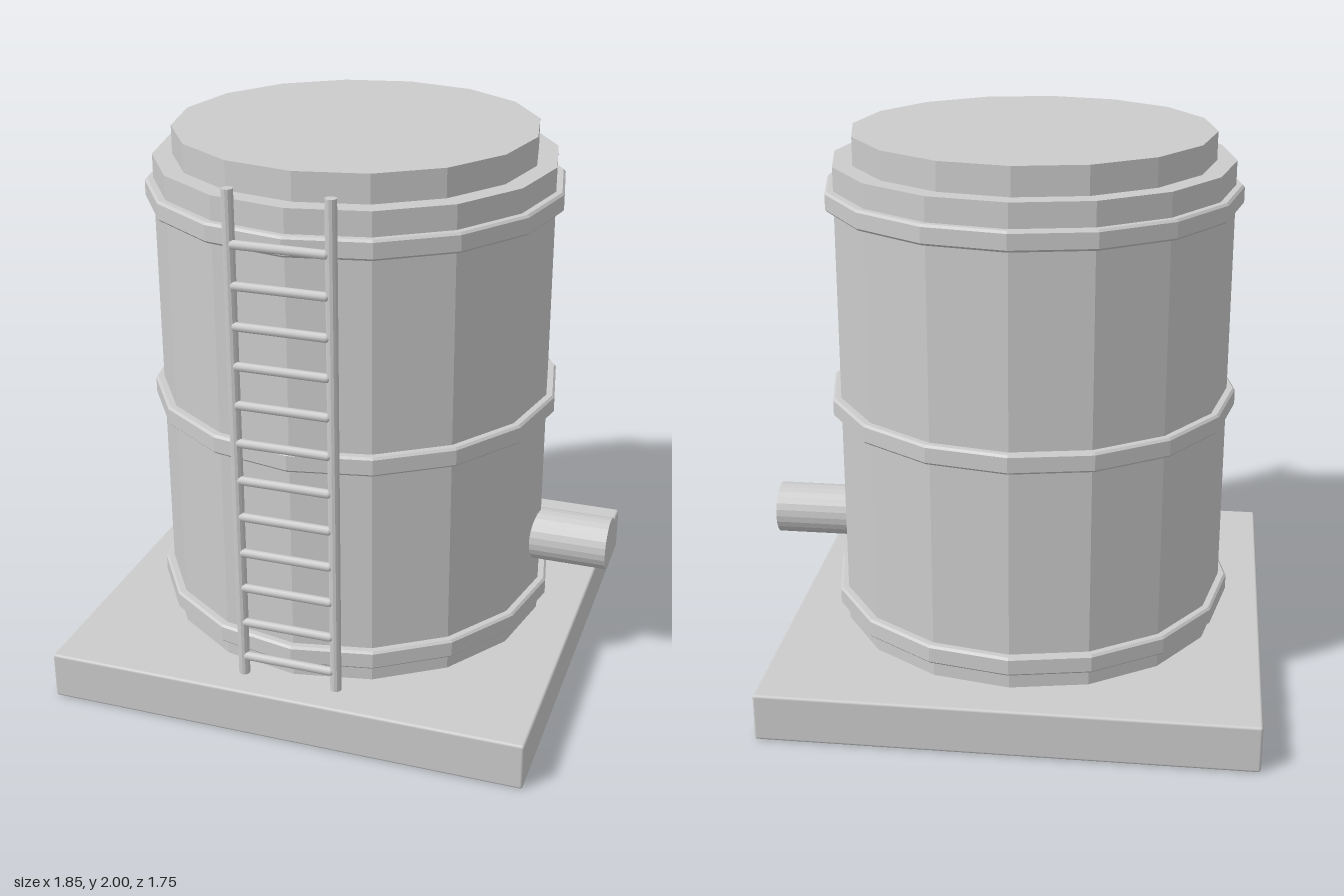
import * as THREE from 'three';
import { RoundedBoxGeometry } from 'three/addons/geometries/RoundedBoxGeometry.js';

const SIDES = 16;
const TANK_X = -0.053;
const flat = new THREE.MeshStandardMaterial({ color: 0xcccccc, flatShading: true });
const smooth = new THREE.MeshStandardMaterial({ color: 0xcccccc });

function add(parent, name, geometry, x, y, z, material = flat) {
  const mesh = new THREE.Mesh(geometry, material);
  mesh.name = name;
  mesh.position.set(x, y, z);
  parent.add(mesh);
  return mesh;
}

// Faceted hoop with small bevels on its outer edges
function hoopGeometry(inner, outer, height, bevel) {
  const h = height / 2;
  const profile = [
    [inner, -h], [outer - bevel, -h], [outer, -h + bevel],
    [outer, h - bevel], [outer - bevel, h], [inner, h],
  ].map(([r, y]) => new THREE.Vector2(r, y));
  return new THREE.LatheGeometry(profile, SIDES);
}

export function createModel() {
  const model = new THREE.Group();
  model.name = 'storageTank';

  // Square foundation slab
  add(model, 'baseSlab', new RoundedBoxGeometry(1.75, 0.175, 1.75, 2, 0.01), TANK_X, 0.0925 - 0.005, 0, smooth);

  // Tank shell and raised lid
  const tank = new THREE.Group();
  tank.name = 'tank';
  tank.position.x = TANK_X;
  model.add(tank);
  add(tank, 'shell', new THREE.CylinderGeometry(0.715, 0.715, 1.73, SIDES), 0, 1.035, 0);
  add(tank, 'lid', new THREE.CylinderGeometry(0.645, 0.645, 0.11, SIDES), 0, 1.945, 0);

  // Reinforcing hoops
  const hoop = hoopGeometry(0.69, 0.745, 0.07, 0.008);
  for (const y of [0.27, 1.025, 1.78]) add(tank, 'hoop', hoop, 0, y, 0);

  // Outlet pipe on the side
  const pipe = add(model, 'outletPipe', new THREE.CylinderGeometry(0.096, 0.096, 0.325, 24), 0.7625, 0.495, 0);
  pipe.rotation.z = -Math.PI / 2;

  // Ladder: two rails and twelve rungs
  const ladder = new THREE.Group();
  ladder.name = 'ladder';
  ladder.position.set(TANK_X, 0, 0.755);
  model.add(ladder);
  const railGeometry = new THREE.CylinderGeometry(0.02, 0.02, 1.785, 12);
  for (const side of [-1, 1]) add(ladder, 'rail', railGeometry, side * 0.172, 1.0675, 0);
  const rungGeometry = new THREE.CapsuleGeometry(0.016, 0.31, 3, 10);
  for (let i = 0; i < 12; i++) {
    const rung = add(ladder, 'rung', rungGeometry, 0, 0.25 + i * 0.139, 0.008, smooth);
    rung.rotation.z = Math.PI / 2;
  }

  return model;
}
